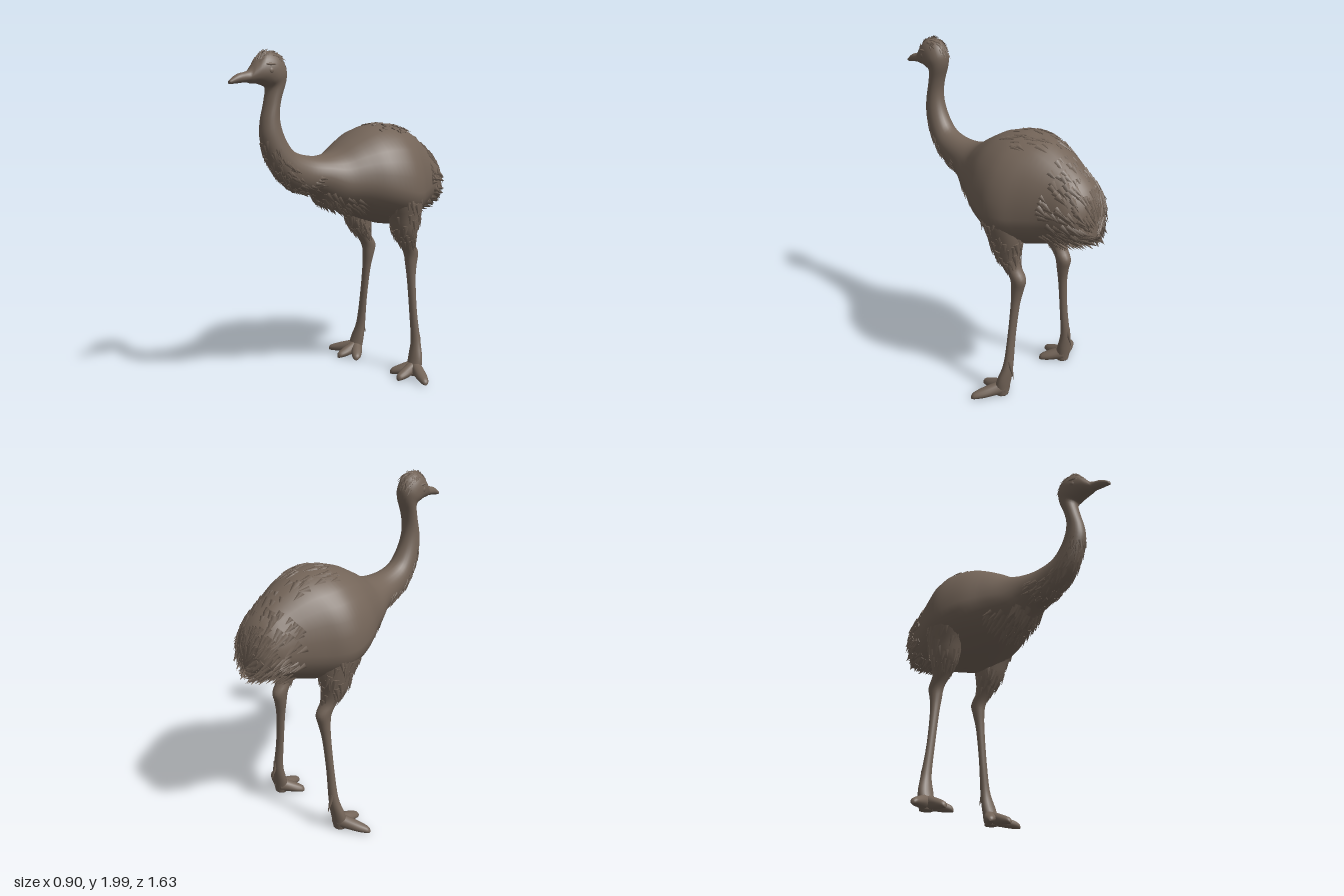
import * as THREE from 'three';
import { mergeGeometries } from 'three/addons/utils/BufferGeometryUtils.js';

// seeded random numbers in 0..1
let seed = 7;
const rand = () => (seed = (seed * 16807) % 2147483647) / 2147483647;
const between = (a, b) => a + (b - a) * rand();

// smooth interpolation through rows of numbers
function rowAt(rows, u) {
  const n = rows.length - 1;
  const i = Math.min(Math.max(Math.floor(u), 0), n - 1), t = u - i;
  const [p, q, r, s] = [i - 1, i, i + 1, i + 2].map(k => rows[Math.min(Math.max(k, 0), n)]);
  return q.map((_, k) => {
    const m0 = (r[k] - p[k]) / 2, m1 = (s[k] - q[k]) / 2, d = r[k] - q[k];
    return q[k] + t * (m0 + t * (3 * d - 2 * m0 - m1 + t * (m0 + m1 - 2 * d)));
  });
}

// closed skin over surface(u, angle), u running 0..last
function loft(surface, last, sub = 4, sides = 24) {
  const pos = [], idx = [], rings = last * sub;
  for (let i = 0; i <= rings; i++)
    for (let j = 0; j < sides; j++)
      pos.push(...surface(i / sub, j / sides * Math.PI * 2).toArray());
  for (let i = 0; i < rings; i++)
    for (let j = 0; j < sides; j++) {
      const a = i * sides + j, b = i * sides + (j + 1) % sides;
      idx.push(a, b, b + sides, a, b + sides, a + sides);
    }
  const lastRing = rings * sides;
  for (let j = 1; j < sides - 1; j++)
    idx.push(0, j + 1, j, lastRing, lastRing + j, lastRing + j + 1);
  const g = new THREE.BufferGeometry();
  g.setAttribute('position', new THREE.Float32BufferAttribute(pos, 3));
  g.setIndex(idx);
  g.computeVertexNormals();
  return g;
}

// tail to beak: top z, top y, bottom z, bottom y, half width, height of widest point
const BODY = [
  [-.765, 1.22, -.765, 1.09, .04, .5], [-.75, 1.3, -.74, 1.06, .11, .5],
  [-.69, 1.385, -.67, 1.04, .17, .45], [-.58, 1.47, -.56, 1.0, .21, .4],
  [-.45, 1.545, -.44, .965, .275, .36], [-.35, 1.57, -.34, .945, .33, .36],
  [-.25, 1.577, -.24, .96, .345, .36], [-.12, 1.55, -.1, 1.01, .31, .38],
  [0, 1.49, .02, 1.06, .24, .42], [.1, 1.43, .14, 1.1, .18, .45],
  [.2, 1.405, .25, 1.17, .13, .5], [.3, 1.41, .36, 1.2, .1, .5],
  [.4, 1.44, .47, 1.26, .085, .5], [.455, 1.5, .56, 1.37, .073, .5],
  [.49, 1.58, .61, 1.5, .062, .5], [.5, 1.66, .61, 1.6, .055, .5],
  [.485, 1.74, .585, 1.7, .054, .5], [.455, 1.83, .57, 1.78, .062, .5],
  [.457, 1.9, .6, 1.8, .074, .5], [.5, 1.965, .645, 1.81, .074, .5],
  [.58, 1.98, .68, 1.81, .06, .5], [.64, 1.93, .7, 1.815, .042, .45],
  [.685, 1.88, .715, 1.815, .03, .45], [.76, 1.858, .76, 1.81, .025, .5],
  [.81, 1.825, .81, 1.805, .012, .5],
];
function bodySurface(u, a) {
  const [tz, ty, bz, by, w, wide] = rowAt(BODY, u);
  const s = Math.sin(a), t = wide + s * (s > 0 ? 1 - wide : wide);
  return new THREE.Vector3(w * Math.cos(a), by + (ty - by) * t, bz + (tz - bz) * t);
}

// hip to sole: y, x, z, half width, half depth
const LEG = [
  [1.25, .2, -.27, .07, .09], [1.15, .215, -.27, .115, .14],
  [1.02, .212, -.3, .092, .115], [.92, .205, -.312, .075, .082],
  [.84, .195, -.345, .05, .052], [.77, .19, -.387, .043, .05],
  [.7, .192, -.386, .037, .036], [.6, .203, -.38, .029, .025],
  [.4, .226, -.376, .027, .021], [.22, .25, -.376, .033, .027],
  [.12, .265, -.36, .05, .034], [.05, .27, -.345, .05, .04], [.005, .27, -.345, .04, .035],
];
const legSurface = side => (u, a) => {
  const [y, x, z, rx, rz] = rowAt(LEG, u);
  return new THREE.Vector3(side * x + rx * Math.cos(a), y, z + rz * Math.sin(a));
};

// toe from the ankle to a tip: distance, half width, half height, centre y
const TOE = [[0, .036, .05, .055], [.3, .036, .038, .045], [.65, .034, .029, .031],
  [.92, .022, .019, .02], [1, .007, .008, .012]];
function toeGeometry(side, tipX, tipZ) {
  const from = new THREE.Vector3(side * .265, 0, -.355);
  const to = new THREE.Vector3(side * tipX, 0, tipZ);
  const up = new THREE.Vector3(0, 1, 0);
  const across = up.clone().cross(to.clone().sub(from).normalize());
  return loft((u, a) => {
    const [t, w, h, y] = rowAt(TOE, u);
    const p = from.clone().lerp(to, t).addScaledVector(across, w * Math.cos(a));
    p.y = y + h * Math.sin(a);
    return p;
  }, TOE.length - 1, 4, 14);
}

// flat pointed feathers scattered over part of a surface; flow is the sign along u
function feathers(surface, flow, count, [u0, u1], [a0, a1], length, lift, droop) {
  const list = [];
  for (let i = 0; i < count; i++) {
    const u = between(u0, u1), a = between(a0, a1), e = .02;
    const p = surface(u, a);
    const du = surface(u + e, a).sub(surface(u - e, a)).normalize();
    const da = surface(u, a + e).sub(surface(u, a - e)).normalize();
    const normal = da.clone().cross(du).normalize();
    const dir = du.multiplyScalar(flow).addScaledVector(normal, lift)
      .addScaledVector(da, between(-.3, .3));
    dir.y -= droop;
    dir.normalize();
    const x = dir.clone().cross(normal).normalize();
    const z = x.clone().cross(dir);
    const len = length * between(.7, 1.15);
    const g = new THREE.ConeGeometry(len * .26, len, 5);
    g.translate(0, len * .4, 0).scale(1, 1, .35);
    g.applyMatrix4(new THREE.Matrix4().makeBasis(x, dir, z).setPosition(p));
    list.push(g);
  }
  return mergeGeometries(list);
}

export function createModel() {
  seed = 7;
  const group = new THREE.Group();
  group.name = 'flightlessBird';
  const plumage = new THREE.MeshStandardMaterial({ color: 0x736458 });
  plumage.name = 'greyBrown';
  const add = (name, geometry, parent = group) => {
    const mesh = new THREE.Mesh(geometry, plumage);
    mesh.name = name;
    parent.add(mesh);
    return mesh;
  };

  // body, neck, head and beak in one skin
  add('bodyNeckAndHead', loft(bodySurface, BODY.length - 1, 4, 28));

  // shaggy plumage
  const TOP = Math.PI / 2;
  add('tailFeathers', feathers(bodySurface, -1, 300, [.2, 3.3], [0, Math.PI * 2], .075, .2, .45));
  add('backFeathers', feathers(bodySurface, -1, 45, [3.8, 6.6], [TOP - .5, TOP + .5], .07, .03, 0));
  add('breastFeathers', feathers(bodySurface, -1, 90, [7.8, 9.8], [-TOP - 1, -TOP + 1], .075, .15, .5));
  add('neckFeathers', feathers(bodySurface, -1, 130, [10.2, 14], [-TOP - 1.5, -TOP + 1.5], .055, .12, .1));
  add('crestFeathers', feathers(bodySurface, -1, 70, [18, 20.9], [TOP - .9, TOP + .9], .042, .15, 0));

  for (const side of [1, -1]) {
    const label = side > 0 ? 'left' : 'right';

    // eye and brow
    const eye = add(label + 'Eye', new THREE.SphereGeometry(.02, 14, 10));
    eye.position.set(side * .062, 1.878, .585);
    eye.scale.x = .7;
    const brow = add(label + 'Brow', new THREE.SphereGeometry(.03, 14, 8));
    brow.position.set(side * .056, 1.91, .58);
    brow.scale.set(.6, .3, 1.3);

    // leg with three toes and a rear spur
    const leg = new THREE.Group();
    leg.name = label + 'Leg';
    group.add(leg);
    const skin = legSurface(side);
    add('thighAndShank', loft(skin, LEG.length - 1, 4, 20), leg);
    add('thighFeathers', feathers(skin, 1, 85, [1, 3.9], [0, Math.PI * 2], .075, .12, .2), leg);
    [['outerToe', .445, -.26], ['middleToe', .275, -.19], ['innerToe', .155, -.245]]
      .forEach(([name, x, z]) => add(name, toeGeometry(side, x, z), leg));
    const spur = add('spur', new THREE.ConeGeometry(.018, .12, 8), leg);
    spur.position.set(side * .255, .19, -.408);
    spur.rotation.x = Math.PI + .35;
  }
  return group;
}
